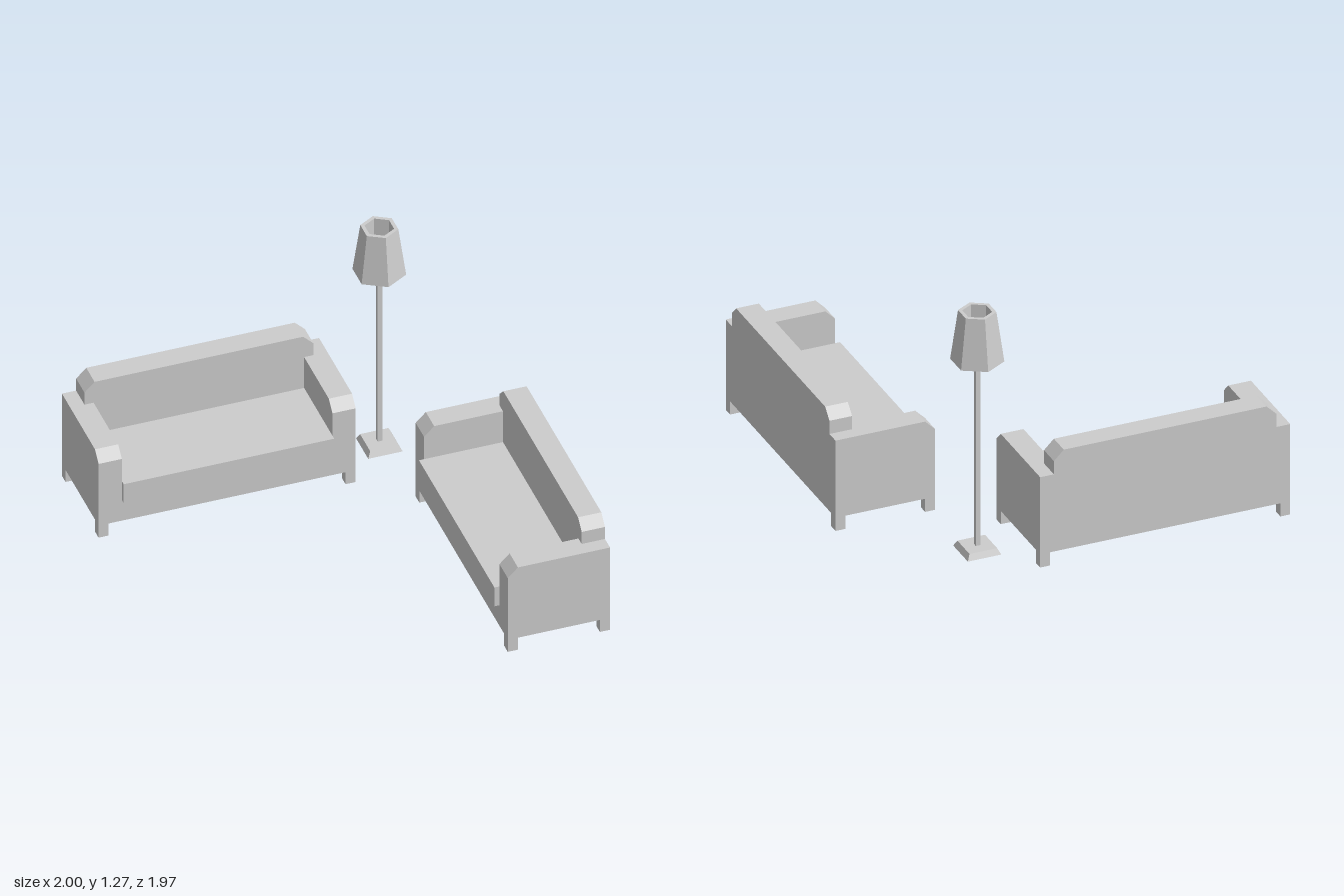
import * as THREE from 'three';

const material = new THREE.MeshStandardMaterial({ color: 0xcccccc, flatShading: true });

function add(parent, name, geometry, x = 0, y = 0, z = 0) {
  const mesh = new THREE.Mesh(geometry, material);
  mesh.name = name;
  mesh.position.set(x, y, z);
  parent.add(mesh);
  return mesh;
}

function extrude(points, depth) {
  const shape = new THREE.Shape(points.map(([x, y]) => new THREE.Vector2(x, y)));
  return new THREE.ExtrudeGeometry(shape, { depth, bevelEnabled: false });
}

// Sofa centred on x, its back on z = 0, facing +z
function createSofa(name) {
  const sofa = new THREE.Group();
  sofa.name = name;
  const half = 0.635, depth = 0.505, arm = 0.115, floor = 0.07, armTop = 0.48;
  const inner = half - arm, bevel = 0.05, leg = 0.05;

  // Seat base and the cushion that overhangs it
  add(sofa, 'seatBase', new THREE.BoxGeometry(2 * inner, 0.12, depth), 0, floor + 0.06, depth / 2);
  add(sofa, 'seatCushion', new THREE.BoxGeometry(2 * inner, 0.11, 0.415), 0, 0.245, arm + 0.2075);

  // Backrest: fits between the arms, steps out above them, clipped corners
  const backHalf = 0.565, top = 0.6;
  const right = [[inner, 0.19], [inner, armTop], [backHalf, armTop], [backHalf, top - bevel], [backHalf - bevel, top]];
  const left = right.map(([x, y]) => [-x, y]).reverse();
  add(sofa, 'backrest', extrude([...right, ...left], arm));

  // Arms: side profile with a clipped front top edge
  const profile = [[0, floor], [depth, floor], [depth, armTop - bevel], [depth - bevel, armTop], [0, armTop]];
  const armGeometry = extrude(profile, arm).rotateY(-Math.PI / 2);
  add(sofa, 'leftArm', armGeometry, half);
  add(sofa, 'rightArm', armGeometry, -inner);

  // Four corner legs
  const legGeometry = new THREE.BoxGeometry(leg, floor, leg);
  for (const side of [-1, 1]) {
    for (const z of [leg / 2, depth - leg / 2]) {
      add(sofa, 'leg', legGeometry, side * (half - leg / 2), floor / 2, z);
    }
  }
  return sofa;
}

function createLamp() {
  const lamp = new THREE.Group();
  lamp.name = 'floorLamp';

  // Tapered square foot
  const foot = new THREE.CylinderGeometry(0.07 * Math.SQRT2, 0.085 * Math.SQRT2, 0.03, 4);
  add(lamp, 'lampFoot', foot.rotateY(Math.PI / 4), 0, 0.015, 0);

  // Square pole
  add(lamp, 'lampPole', new THREE.BoxGeometry(0.024, 1.02, 0.024), 0, 0.54, 0);

  // Thick six-sided shade with an open core
  const ring = [[0.127, 1.01], [0.09, 1.27], [0.07, 1.27], [0.07, 1.01], [0.127, 1.01]];
  add(lamp, 'lampShade', new THREE.LatheGeometry(ring.map(([r, y]) => new THREE.Vector2(r, y)), 6));
  return lamp;
}

export function createModel() {
  const model = new THREE.Group();
  model.name = 'livingRoomSet';

  const rearSofa = createSofa('rearSofa');
  rearSofa.position.set(-0.365, 0, -0.988);

  const sideSofa = createSofa('sideSofa');
  sideSofa.position.set(1, 0, 0.351);
  sideSofa.rotation.y = -Math.PI / 2;

  const lamp = createLamp();
  lamp.position.set(0.47, 0, -0.716);

  model.add(rearSofa, sideSofa, lamp);
  return model;
}
